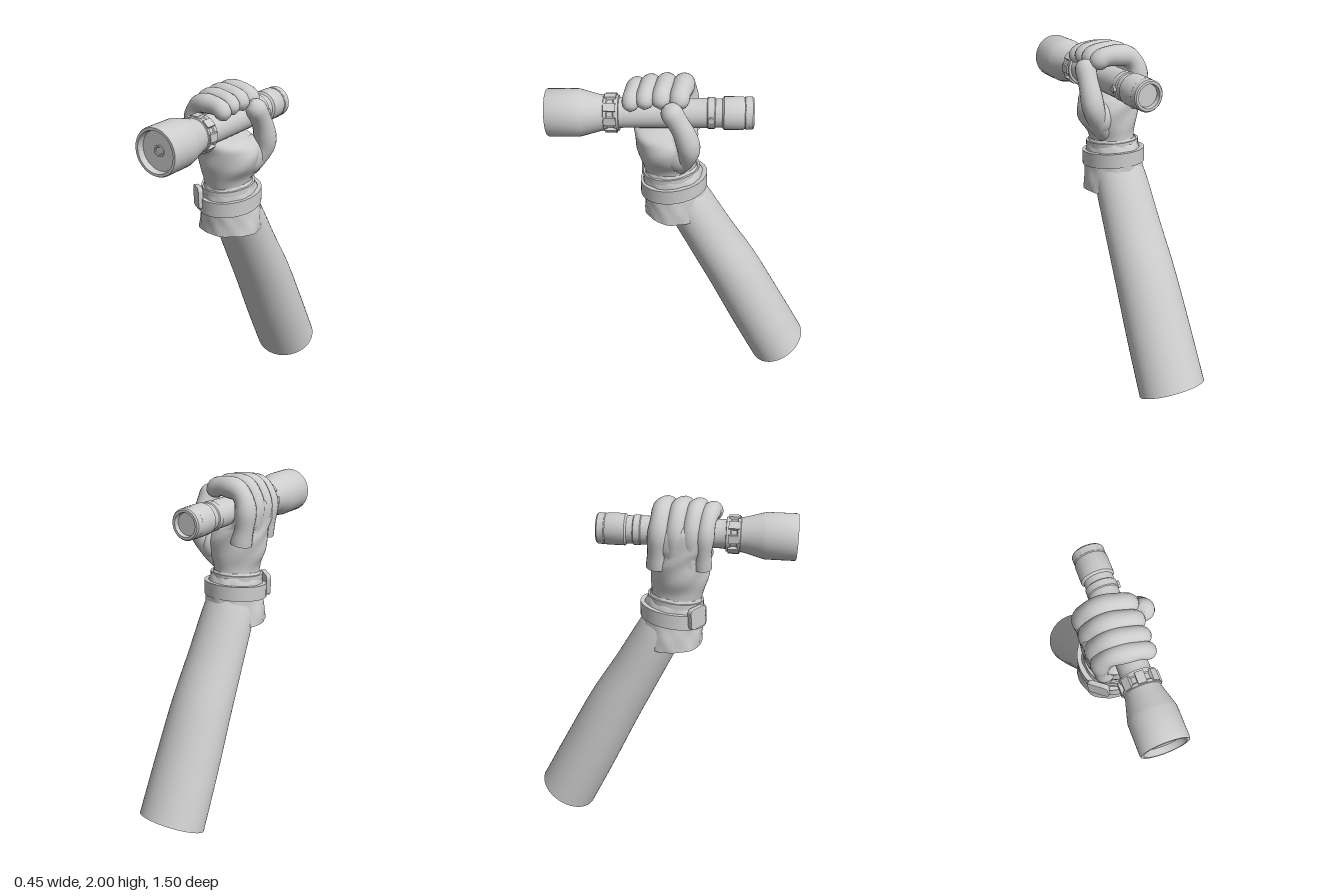
import * as THREE from 'three';
import { toCreasedNormals } from 'three/addons/utils/BufferGeometryUtils.js';

const grey = new THREE.MeshStandardMaterial({ color: 0xcccccc, side: THREE.DoubleSide });
grey.name = 'light grey';

function add(parent, name, geometry) {
  const mesh = new THREE.Mesh(geometry, grey);
  mesh.name = name;
  parent.add(mesh);
  return mesh;
}

// Smooth skin over rows of points, each row a closed loop
function skin(rows) {
  const n = rows[0].length, pos = [], index = [];
  rows.forEach(row => row.forEach(p => pos.push(p.x, p.y, p.z)));
  for (let i = 0; i < rows.length - 1; i++) {
    for (let j = 0; j < n; j++) {
      const a = i * n + j, b = i * n + (j + 1) % n;
      index.push(a, a + n, b, b, a + n, b + n);
    }
  }
  const g = new THREE.BufferGeometry();
  g.setAttribute('position', new THREE.Float32BufferAttribute(pos, 3));
  g.setIndex(index);
  g.computeVertexNormals();
  return g;
}

// Rings are [y, centreX, centreZ, radiusX, radiusZ, slope of y along z];
// values between rings are smoothed, wrinkle(angle, t) scales the radius
function loft(rings, steps, wrinkle = () => 1, seg = 48) {
  const rows = [];
  for (let i = 0; i <= steps; i++) {
    const f = i / steps * (rings.length - 1);
    const k = Math.min(Math.floor(f), rings.length - 2), u = f - k;
    const at = m => rings[Math.max(0, Math.min(rings.length - 1, m))];
    const [y, cx, cz, rx, rz, slope] = rings[0].map((_, c) => {
      const [p0, p1, p2, p3] = [at(k - 1)[c], at(k)[c], at(k + 1)[c], at(k + 2)[c]];
      const m1 = (p2 - p0) / 2, m2 = (p3 - p1) / 2;
      return p1 + u * (m1 + u * (3 * (p2 - p1) - 2 * m1 - m2 + u * (2 * (p1 - p2) + m1 + m2)));
    });
    const row = [];
    for (let j = 0; j < seg; j++) {
      const a = j / seg * Math.PI * 2, w = wrinkle(a, i / steps);
      const dz = rz * w * Math.sin(a);
      row.push(new THREE.Vector3(cx + rx * w * Math.cos(a), y + slope * dz, cz + dz));
    }
    rows.push(row);
  }
  return skin(rows);
}

// Finger along a curve, with swollen joints and a rounded tip
function digit(points, radius, joints) {
  const curve = new THREE.CatmullRomCurve3(points.map(p => new THREE.Vector3(...p)));
  const steps = 36, seg = 18, rows = [];
  const { normals, binormals } = curve.computeFrenetFrames(steps);
  for (let i = 0; i <= steps; i++) {
    const t = i / steps, e = Math.max(0, (t - 0.86) / 0.14);
    const r = radius * (1 + 0.06 * Math.cos(t * Math.PI * 2 * joints)) * Math.sqrt(Math.max(0.0001, 1 - e * e));
    const c = curve.getPointAt(t), row = [];
    for (let j = 0; j < seg; j++) {
      const a = -j / seg * Math.PI * 2;
      row.push(c.clone().addScaledVector(normals[i], r * Math.cos(a)).addScaledVector(binormals[i], r * Math.sin(a)));
    }
    rows.push(row);
  }
  return skin(rows);
}

// Turned part along z from [radius, z] points
function turned(profile, seg = 48) {
  const g = new THREE.LatheGeometry(profile.map(([r, z]) => new THREE.Vector2(r, z)), seg);
  return toCreasedNormals(g.rotateX(Math.PI / 2), 0.5);
}

function makeTorch() {
  const torch = new THREE.Group();
  torch.name = 'flashlight';

  add(torch, 'torchHead', turned([
    [0.08, 0.34], [0.094, 0.44], [0.1, 0.47], [0.125, 0.56], [0.129, 0.58], [0.129, 0.742],
    [0.125, 0.75], [0.111, 0.75], [0.106, 0.715], [0, 0.715]]));
  add(torch, 'bulb', turned([[0.03, 0.71], [0.03, 0.722], [0.022, 0.722], [0.018, 0.718], [0, 0.718]], 24));
  add(torch, 'torchTube', turned([
    [0.08, 0.37], [0.08, -0.11], [0.084, -0.115], [0.084, -0.15], [0.078, -0.155], [0.078, -0.2]].reverse()));
  add(torch, 'collar', turned([[0.08, 0.36], [0.096, 0.362], [0.096, 0.385], [0.09, 0.39], [0.09, 0.42],
    [0.1, 0.425], [0.1, 0.44], [0.09, 0.445]]));
  add(torch, 'tailCap', turned([
    [0, -0.335], [0.062, -0.335], [0.066, -0.36], [0.08, -0.36], [0.087, -0.352], [0.087, -0.315],
    [0.084, -0.31], [0.089, -0.3], [0.089, -0.2], [0.078, -0.19]]));
  // Grip lugs around the collar
  for (let i = 0; i < 8; i++) {
    const a = i / 8 * Math.PI * 2;
    const lug = add(torch, 'collarLug', new THREE.BoxGeometry(0.02, 0.045, 0.062));
    lug.position.set(Math.cos(a) * 0.095, Math.sin(a) * 0.095, 0.405);
    lug.rotation.z = a;
  }
  const button = add(torch, 'sideButton', new THREE.CylinderGeometry(0.018, 0.02, 0.014, 20));
  button.rotation.z = -Math.PI / 2;
  button.position.set(0.086, 0, -0.132);

  torch.position.set(0.01, 1.804, 0);
  torch.rotation.x = 0.014;
  return torch;
}

function makeHand() {
  const hand = new THREE.Group();
  hand.name = 'glovedHand';

  // Wrist and palm, narrowing to the knuckle side above the grip
  add(hand, 'palm', loft([
    [1.40, -0.025, 0.085, 0.12, 0.14, 0],
    [1.48, -0.02, 0.10, 0.13, 0.15, 0],
    [1.56, -0.008, 0.108, 0.168, 0.165, 0],
    [1.64, -0.008, 0.11, 0.178, 0.17, 0],
    [1.70, -0.03, 0.12, 0.157, 0.175, 0],
    [1.75, -0.105, 0.12, 0.085, 0.17, 0],
    [1.84, -0.12, 0.12, 0.066, 0.165, 0],
    [1.90, -0.10, 0.13, 0.04, 0.14, 0],
    [1.91, -0.10, 0.13, 0.001, 0.001, 0]], 48,
  (a, t) => 1 + 0.022 * Math.sin(5 * a + 22 * t) * Math.sin(Math.PI * t)));

  // Four fingers over the top, from the index at the back to the little finger in front
  const fingers = [
    ['indexFinger', -0.005, 0.04, 0.058, 0],
    ['middleFinger', 0.085, 0.135, 0.056, 0.002],
    ['ringFinger', 0.17, 0.22, 0.053, -0.002],
    ['littleFinger', 0.245, 0.295, 0.05, -0.016]];
  for (const [name, z0, z1, r, dy] of fingers) {
    const z = t => z0 + (z1 - z0) * t;
    add(hand, name, digit([
      [-0.115, 1.64, z(-0.1)], [-0.136, 1.76, z(0)], [-0.13, 1.87 + dy, z(0.2)],
      [-0.085, 1.93 + dy, z(0.4)], [0, 1.943 + dy, z(0.65)],
      [0.075, 1.93 + dy, z(0.9)], [0.112, 1.875 + dy, z(1)]], r, 3));
  }

  // Thumb up the left side of the tube
  add(hand, 'thumb', digit([
    [0.04, 1.50, 0.05], [0.105, 1.57, 0.01], [0.15, 1.66, -0.015],
    [0.158, 1.75, 0.005], [0.155, 1.84, 0.05], [0.145, 1.925, 0.105]], 0.06, 2));
  const mound = add(hand, 'thumbMound', new THREE.SphereGeometry(1, 28, 20));
  mound.scale.set(0.075, 0.11, 0.1);
  mound.position.set(0.095, 1.605, 0.04);
  return hand;
}

function makeCuff() {
  const cuff = new THREE.Group();
  cuff.name = 'gloveCuff';

  // Loose gauntlet, open at the bottom
  add(cuff, 'gauntlet', loft([
    [1.157, -0.025, 0.068, 0.184, 0.175, 0],
    [1.22, -0.025, 0.066, 0.178, 0.178, 0],
    [1.29, -0.024, 0.07, 0.166, 0.178, -0.06],
    [1.35, -0.024, 0.075, 0.16, 0.175, -0.12],
    [1.41, -0.024, 0.083, 0.148, 0.162, -0.12],
    [1.455, -0.024, 0.09, 0.128, 0.145, -0.1]], 36,
  (a, t) => 1 + 0.018 * Math.sin(6 * a + 9 * t) + 0.012 * Math.sin(11 * a - 14 * t)));

  // Straps as thin closed bands
  const band = (name, y, h, cx, cz, rx, rz, slope) => {
    const ring = (dy, s) => [y + dy, cx, cz, rx - s, rz - s, slope];
    add(cuff, name, toCreasedNormals(loft(
      [ring(-h / 2, 0.03), ring(-h / 2, 0), ring(h / 2, 0), ring(h / 2, 0.03)], 3), 0.6));
  };
  band('wideStrap', 1.345, 0.085, -0.025, 0.075, 0.178, 0.19, -0.13);
  band('wristStrap', 1.425, 0.03, -0.024, 0.088, 0.148, 0.16, -0.12);

  // Strap fastener on the front right
  const plate = new THREE.Shape();
  const w = 0.055, h = 0.058, r = 0.02;
  plate.moveTo(-w + r, -h);
  plate.lineTo(w - r, -h).quadraticCurveTo(w, -h, w, -h + r);
  plate.lineTo(w, h - r).quadraticCurveTo(w, h, w - r, h);
  plate.lineTo(-w + r, h).quadraticCurveTo(-w, h, -w, h - r);
  plate.lineTo(-w, -h + r).quadraticCurveTo(-w, -h, -w + r, -h);
  const buckle = add(cuff, 'strapFastener', new THREE.ExtrudeGeometry(plate,
    { depth: 0.02, bevelSize: 0.005, bevelThickness: 0.005, bevelSegments: 2 }));
  buckle.position.set(-0.135, 1.358, 0.21);
  buckle.rotation.set(0, -0.68, 0.08);
  return cuff;
}

export function createModel() {
  const model = new THREE.Group();
  model.name = 'armWithFlashlight';

  // Tapered sleeve, leaning forward and open at the lower end
  add(model, 'forearm', loft([
    [0.09, -0.03, -0.595, 0.20, 0.158, -0.54],
    [0.40, -0.029, -0.438, 0.194, 0.153, -0.54],
    [0.708, -0.028, -0.283, 0.183, 0.144, -0.54],
    [0.96, -0.028, -0.142, 0.17, 0.13, -0.54],
    [1.224, -0.028, 0.0, 0.155, 0.118, -0.54],
    [1.36, -0.025, 0.065, 0.125, 0.105, -0.4]], 40));
  model.add(makeCuff(), makeHand(), makeTorch());
  return model;
}
